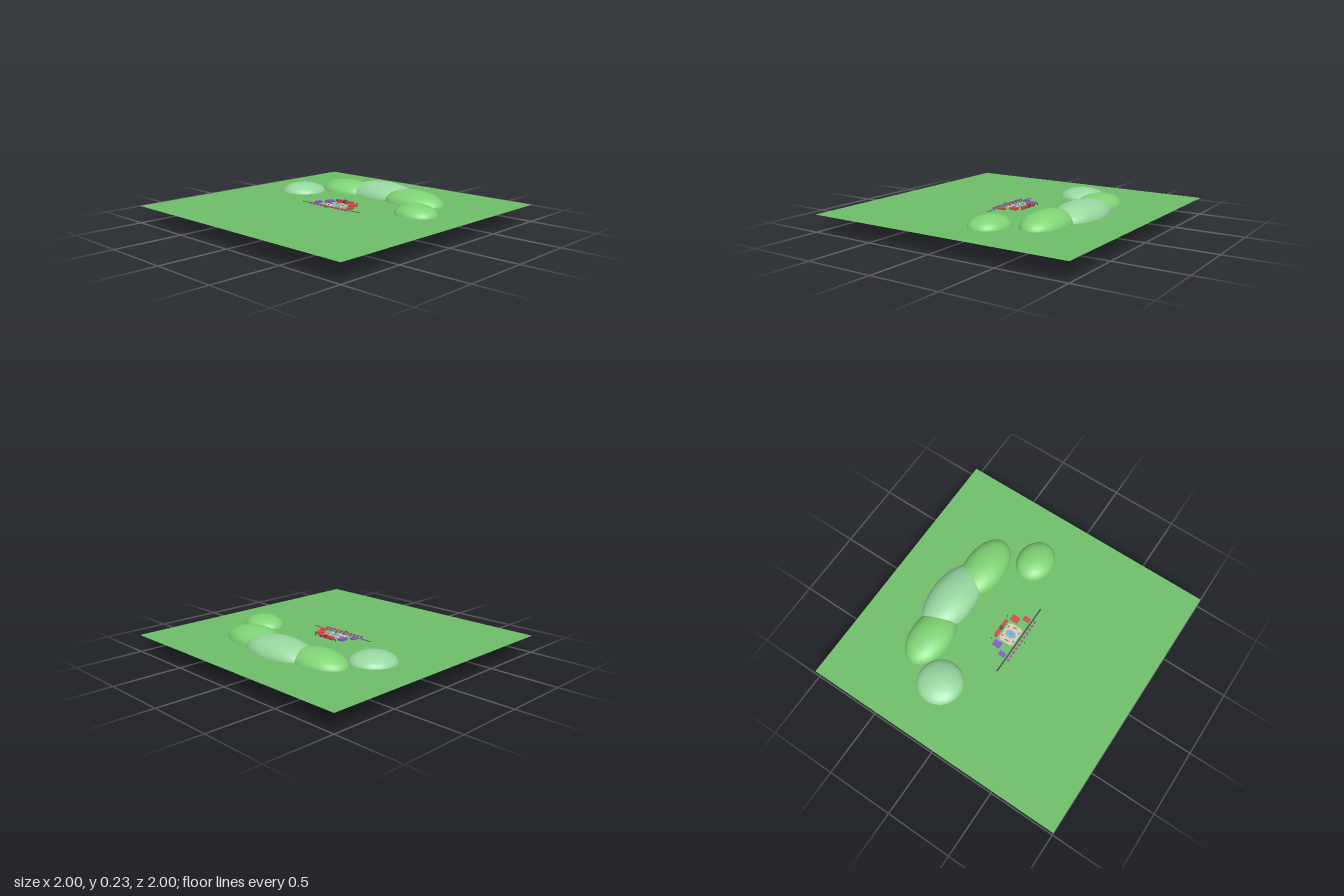
import * as THREE from 'three';

const GROUND = 0.128;
const RED = 0xd9484f, PURPLE = 0x8458d0, STONE = 0xd8cdbb, DARK = 0x4a4a55, WATER = 0x6db5dc;

function mat(color, side = THREE.FrontSide) {
  return new THREE.MeshStandardMaterial({ color, side });
}

function add(parent, name, geometry, color, x, y, z) {
  const mesh = new THREE.Mesh(geometry, mat(color));
  mesh.name = name;
  mesh.position.set(x, y, z);
  parent.add(mesh);
  return mesh;
}

// Box whose base sits at height y above the lawn
function block(parent, name, color, x, z, w, h, d, y = 0) {
  return add(parent, name, new THREE.BoxGeometry(w, h, d), color, x, GROUND + y + h / 2, z);
}

export function createModel() {
  const model = new THREE.Group();
  model.name = 'parkLandscape';

  // Lawn: a thin sheet seen from both sides
  const lawn = new THREE.Mesh(new THREE.PlaneGeometry(2, 2), mat(0x6fbf69, THREE.DoubleSide));
  lawn.name = 'lawn';
  lawn.rotation.x = -Math.PI / 2;
  lawn.position.y = GROUND;
  model.add(lawn);

  // Hills: flattened spheres [x, z, rx, ry, rz, color]
  const pale = 0x98d8a0, bright = 0x7fd474;
  const hills = [
    [-0.572, -0.22, 0.169, 0.077, 0.169, pale],
    [-0.33, -0.475, 0.238, 0.098, 0.154, bright],
    [0, -0.518, 0.31, 0.114, 0.169, pale],
    [0.34, -0.461, 0.255, 0.105, 0.154, bright],
    [0.587, -0.175, 0.168, 0.084, 0.139, bright],
  ];
  const ball = new THREE.SphereGeometry(1, 48, 32);
  for (const [x, z, rx, ry, rz, color] of hills) {
    add(model, 'hill', ball, color, x, 0.117, z).scale.set(rx, ry, rz);
  }

  // Path in front of the plaza
  block(model, 'path', DARK, 0, 0.067, 0.572, 0.001, 0.011);

  // Plaza slab, slightly sunk through the lawn
  const plaza = new THREE.Group();
  plaza.name = 'plaza';
  model.add(plaza);
  block(plaza, 'plazaSlab', STONE, 0, -0.005, 0.15, 0.005, 0.118, -0.002);

  // Fountain in the middle
  const basin = add(plaza, 'basin', new THREE.CylinderGeometry(1, 1, 0.004, 32), 0xb8b2aa, 0, GROUND + 0.005, -0.006);
  basin.scale.set(0.03, 1, 0.042);
  const pool = add(plaza, 'pool', new THREE.CylinderGeometry(1, 1, 0.002, 32), WATER, 0, GROUND + 0.008, -0.006);
  pool.scale.set(0.024, 1, 0.035);
  add(plaza, 'fountainColumn', new THREE.CylinderGeometry(0.003, 0.005, 0.014, 12), 0x4f94bd, 0, GROUND + 0.015, -0.006);

  // Benches and posts round the plaza
  for (const sx of [-1, 1]) {
    for (const sz of [-1, 1]) {
      block(plaza, 'cornerPost', 0xb39a86, sx * 0.068, -0.005 + sz * 0.052, 0.008, 0.012, 0.008);
      block(plaza, 'bench', 0x8a6a58, sx * 0.038, -0.005 + sz * 0.046, 0.018, 0.007, 0.006);
    }
    block(plaza, 'sideBench', 0x8a6a58, sx * 0.055, -0.005, 0.006, 0.007, 0.03);
  }

  // Long hall behind the plaza with a small spire
  block(model, 'hall', RED, 0, -0.09, 0.15, 0.02, 0.022);
  block(model, 'hallDoor', DARK, 0, -0.09, 0.022, 0.023, 0.024);
  add(model, 'spire', new THREE.ConeGeometry(0.006, 0.026, 12), RED, 0, GROUND + 0.035, -0.09);

  // Pavilions: purple on the right side, red on the left
  for (const [side, color] of [[-1, PURPLE], [1, RED]]) {
    block(model, 'backPavilion', color, side * 0.115, -0.045, 0.044, 0.015, 0.058);
    block(model, 'frontPavilion', color, side * 0.159, 0.027, 0.032, 0.013, 0.047);
    for (const x of [0.05, 0.102]) {
      block(model, 'lampPost', DARK, side * x, -0.104, 0.005, 0.014, 0.005);
    }
  }

  // Row of small stalls along the path
  for (let i = -5; i <= 5; i++) {
    block(model, 'stall', i % 2 ? PURPLE : RED, i * 0.0345, 0.089, 0.016, 0.011, 0.014);
  }
  block(model, 'signPost', DARK, 0, 0.112, 0.006, 0.01, 0.006);

  return model;
}
